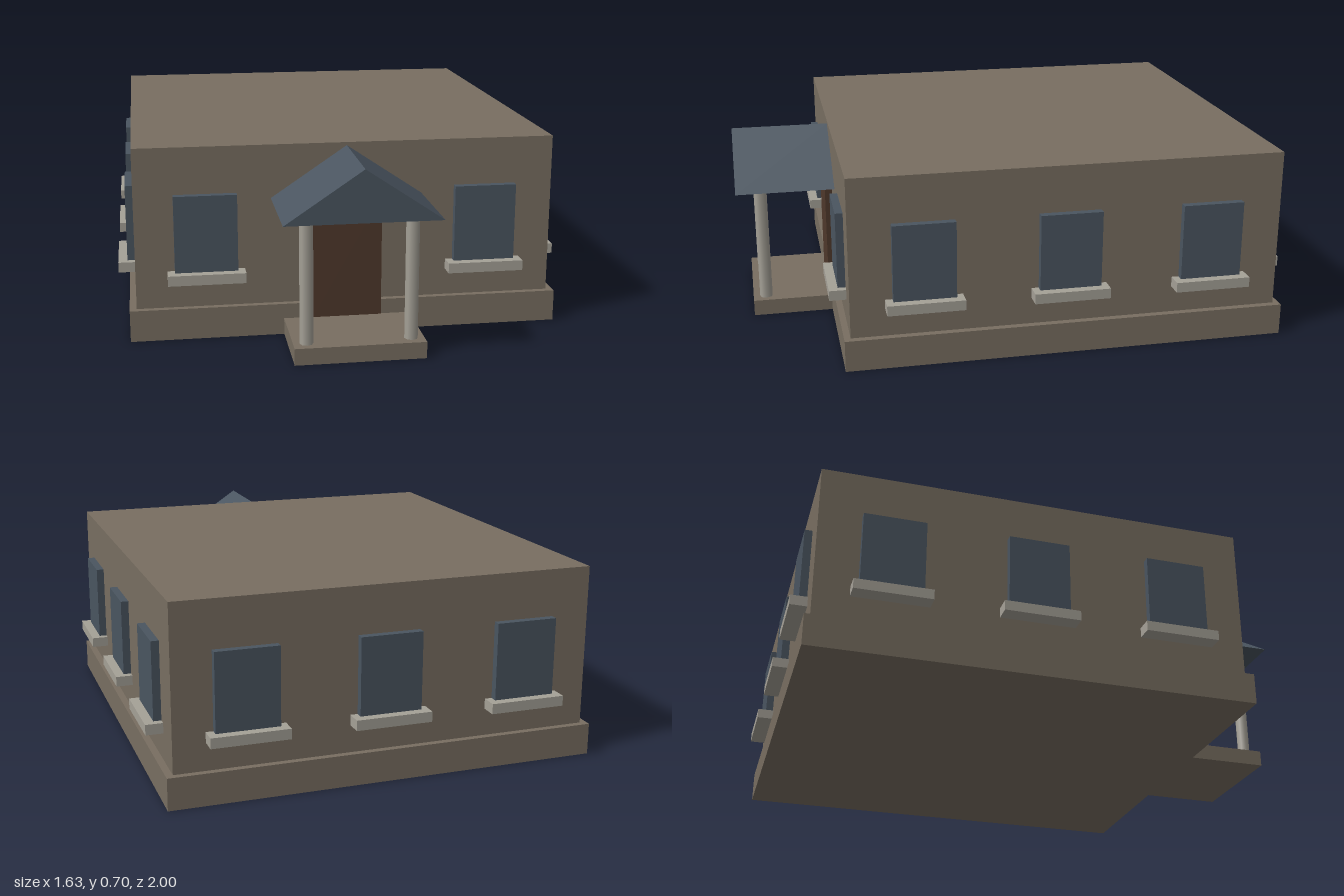
import * as THREE from 'three';

const material = (name, color) => new THREE.MeshStandardMaterial({ name, color });

export function createModel() {
  const model = new THREE.Group();
  model.name = 'house';
  const stone = material('stone brown', 0x786e61);
  const slate = material('slate blue', 0x4a5560);
  const trim = material('pale trim', 0xa5a197);
  const wood = material('door brown', 0x4f382b);

  const add = (parent, name, geometry, mat, x = 0, y = 0, z = 0) => {
    const mesh = new THREE.Mesh(geometry, mat);
    mesh.name = name;
    mesh.position.set(x, y, z);
    parent.add(mesh);
    return mesh;
  };
  // Box given by its width, y range and z range, centred on x
  const block = (parent, name, mat, w, y0, y1, z0, z1) =>
    add(parent, name, new THREE.BoxGeometry(w, y1 - y0, z1 - z0), mat, 0, (y0 + y1) / 2, (z0 + z1) / 2);

  // Walls and plinth
  const halfX = 0.756, back = -0.938, front = 0.634;
  block(model, 'walls', stone, halfX * 2, 0.115, 0.7, back, front);
  block(model, 'plinth', stone, 1.562, 0, 0.115, back - 0.023, front + 0.023);

  // Window with sill, projecting along its local +z
  const addWindow = (x, z, turn) => {
    const unit = new THREE.Group();
    unit.name = 'window';
    block(unit, 'pane', slate, 0.224, 0.25, 0.53, -0.02, 0.028);
    block(unit, 'sill', trim, 0.276, 0.214, 0.251, -0.02, 0.061);
    unit.position.set(x, 0, z);
    unit.rotation.y = turn;
    model.add(unit);
  };
  for (const x of [-0.505, 0.505]) addWindow(x, front, 0);
  for (const x of [-0.505, 0, 0.505]) addWindow(x, back, Math.PI);
  for (const side of [-1, 1]) {
    for (const z of [0.372, -0.151, -0.674]) addWindow(side * halfX, z, side * Math.PI / 2);
  }

  // Door and porch step
  block(model, 'door', wood, 0.25, 0.06, 0.51, front - 0.02, front + 0.027);
  block(model, 'step', stone, 0.46, 0, 0.06, front, 0.957);

  // Porch columns
  for (const side of [-1, 1]) {
    add(model, 'column', new THREE.CylinderGeometry(0.024, 0.024, 0.447, 8), trim, side * 0.183, 0.2835, 0.908);
  }

  // Gabled porch roof
  const gable = new THREE.Shape([
    new THREE.Vector2(-0.272, 0.506),
    new THREE.Vector2(0.272, 0.506),
    new THREE.Vector2(0, 0.689),
  ]);
  const roof = new THREE.ExtrudeGeometry(gable, { depth: 1 - front, bevelEnabled: false });
  add(model, 'porchRoof', roof, slate, 0, 0, front);

  return model;
}
